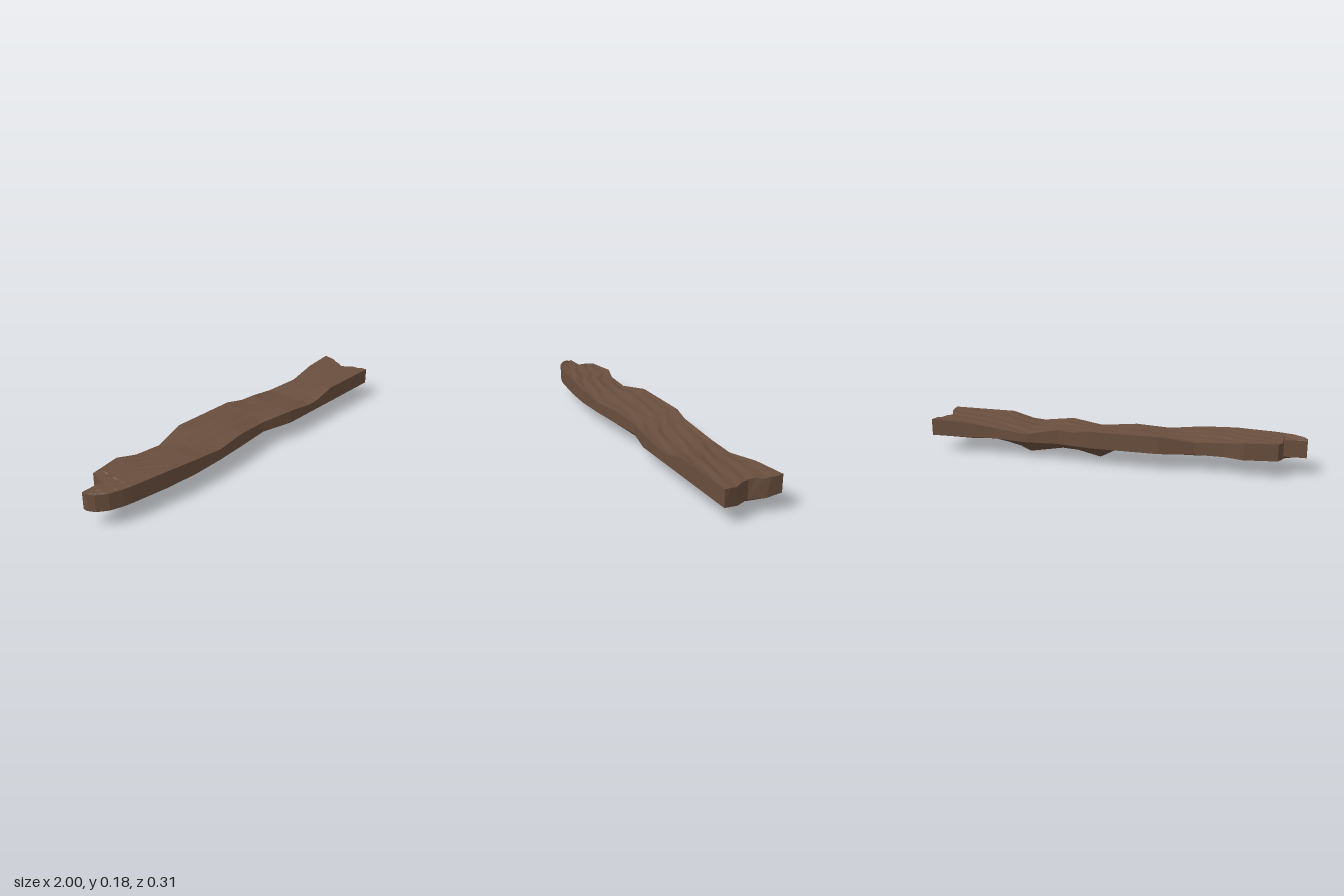
import * as THREE from 'three';

// Piecewise-linear profile: pairs of [x, value]
function profile(points) {
  return (x) => {
    if (x <= points[0][0]) return points[0][1];
    for (let i = 1; i < points.length; i++) {
      const [x0, v0] = points[i - 1], [x1, v1] = points[i];
      if (x <= x1) return v0 + ((v1 - v0) * (x - x0)) / (x1 - x0);
    }
    return points[points.length - 1][1];
  };
}

// Plan outline of the slab
const frontZ = profile([[-1, 0.015], [-0.98, 0.05], [-0.93, 0.085], [-0.85, 0.11], [-0.63, 0.137],
  [-0.45, 0.147], [-0.27, 0.14], [-0.09, 0.125], [0.1, 0.105], [0.28, 0.147], [1, 0.15]]);
const backZ = profile([[-1, -0.015], [-0.885, -0.02], [-0.882, -0.08], [-0.865, -0.108], [-0.7, -0.138],
  [-0.6, -0.112], [-0.45, -0.112], [-0.27, -0.155], [0.1, -0.155], [0.28, -0.127], [0.45, -0.145],
  [0.64, -0.12], [0.82, -0.14], [1, -0.152]]);

// Height of the top along its front edge, middle and back edge
const topFront = profile([[-0.63, 0.182], [-0.45, 0.172], [-0.27, 0.152], [-0.09, 0.165], [0.1, 0.15],
  [0.28, 0.165], [0.45, 0.143], [0.52, 0.148], [0.64, 0.18]]);
const topMiddle = profile([[-0.7, 0.178], [-0.45, 0.172], [-0.37, 0.163], [-0.09, 0.174], [0.1, 0.17],
  [0.28, 0.158], [0.45, 0.145], [0.64, 0.162], [0.82, 0.172], [1, 0.176]]);
const topBack = profile([[-0.7, 0.18], [-0.6, 0.165], [-0.45, 0.155], [-0.27, 0.183], [0.1, 0.182],
  [0.2, 0.166], [0.28, 0.17], [0.45, 0.138], [0.64, 0.15], [0.82, 0.175], [1, 0.183]]);

// Jagged ridge running along the underside
const keelY = profile([[-1, 0.092], [-0.95, 0.09], [-0.822, 0.05], [-0.818, 0.094], [-0.63, 0.088],
  [-0.45, 0.05], [-0.27, 0.085], [-0.09, 0.09], [0.08, 0.001], [0.25, 0.05], [0.44, 0.025],
  [0.62, 0.058], [0.7, 0.055], [0.82, 0.03], [1, 0.075]]);
const keelZ = profile([[-1, 0], [-0.82, 0.03], [-0.45, 0.02], [-0.09, 0], [0.08, 0], [0.25, -0.03],
  [0.44, -0.085], [0.62, 0], [0.82, 0.06], [1, 0]]);

const stations = [-1, -0.98, -0.95, -0.93, -0.885, -0.882, -0.865, -0.822, -0.818, -0.7, -0.63, -0.6,
  -0.45, -0.37, -0.27, -0.09, 0.08, 0.1, 0.2, 0.28, 0.45, 0.52, 0.64, 0.7, 0.82, 0.93, 1];
const TOP_STEPS = 10;

// One cross-section: across the top from front to back, then around underneath
function section(x, index) {
  const f = frontZ(x), b = backZ(x), ring = [];
  for (let k = 0; k <= TOP_STEPS; k++) {
    const t = k / TOP_STEPS;
    const y = t < 0.5
      ? THREE.MathUtils.lerp(topFront(x), topMiddle(x), t * 2)
      : THREE.MathUtils.lerp(topMiddle(x), topBack(x), t * 2 - 1);
    const grain = k > 0 && k < TOP_STEPS ? 0.003 * Math.sin(k * 2.4 + index * 1.7) - 0.002 : 0;
    ring.push([x, y + grain, THREE.MathUtils.lerp(f, b, t)]);
  }
  const kz = THREE.MathUtils.clamp(keelZ(x), b, f), ky = keelY(x);
  ring.push([x, 0.093, b], [x, (0.093 + ky) / 2 - 0.003, (b + kz) / 2], [x, ky, kz],
    [x, (0.093 + ky) / 2 - 0.003, (f + kz) / 2], [x, 0.093, f]);
  // Broken notch in the left end
  if (x === 1) for (const p of ring) p[0] -= 0.045 * Math.exp(-((p[2] / 0.06) ** 2));
  return ring;
}

function slabGeometry() {
  const rings = stations.map(section);
  const n = rings[0].length, last = rings.length - 1;
  const positions = rings.flat(2), indices = [];
  for (let i = 0; i < last; i++) {
    for (let j = 0; j < n; j++) {
      const k = (j + 1) % n;
      const a = i * n + j, b = i * n + k, c = a + n, d = b + n;
      indices.push(a, c, b, b, c, d);
    }
  }
  // End faces, joined as strips between the top and the underside
  const cap = (ringIndex, flip) => {
    const o = ringIndex * n;
    const under = (k) => o + n - 1 - Math.round((k / TOP_STEPS) * 4);
    const add = (p, q, r) => indices.push(...(flip ? [p, r, q] : [p, q, r]));
    for (let k = 0; k < TOP_STEPS; k++) {
      add(o + k, o + k + 1, under(k));
      if (under(k) !== under(k + 1)) add(o + k + 1, under(k + 1), under(k));
    }
  };
  cap(0, false);
  cap(last, true);
  const geometry = new THREE.BufferGeometry();
  geometry.setAttribute('position', new THREE.Float32BufferAttribute(positions, 3));
  geometry.setIndex(indices);
  const faceted = geometry.toNonIndexed();
  faceted.computeVertexNormals();
  return faceted;
}

export function createModel() {
  const bark = new THREE.MeshStandardMaterial({ color: 0x694e3d });
  bark.name = 'barkBrown';
  bark.side = THREE.DoubleSide;
  bark.flatShading = true;

  const slab = new THREE.Mesh(slabGeometry(), bark);
  slab.name = 'woodSlab';

  const group = new THREE.Group();
  group.name = 'brokenWoodPlank';
  group.add(slab);
  return group;
}
